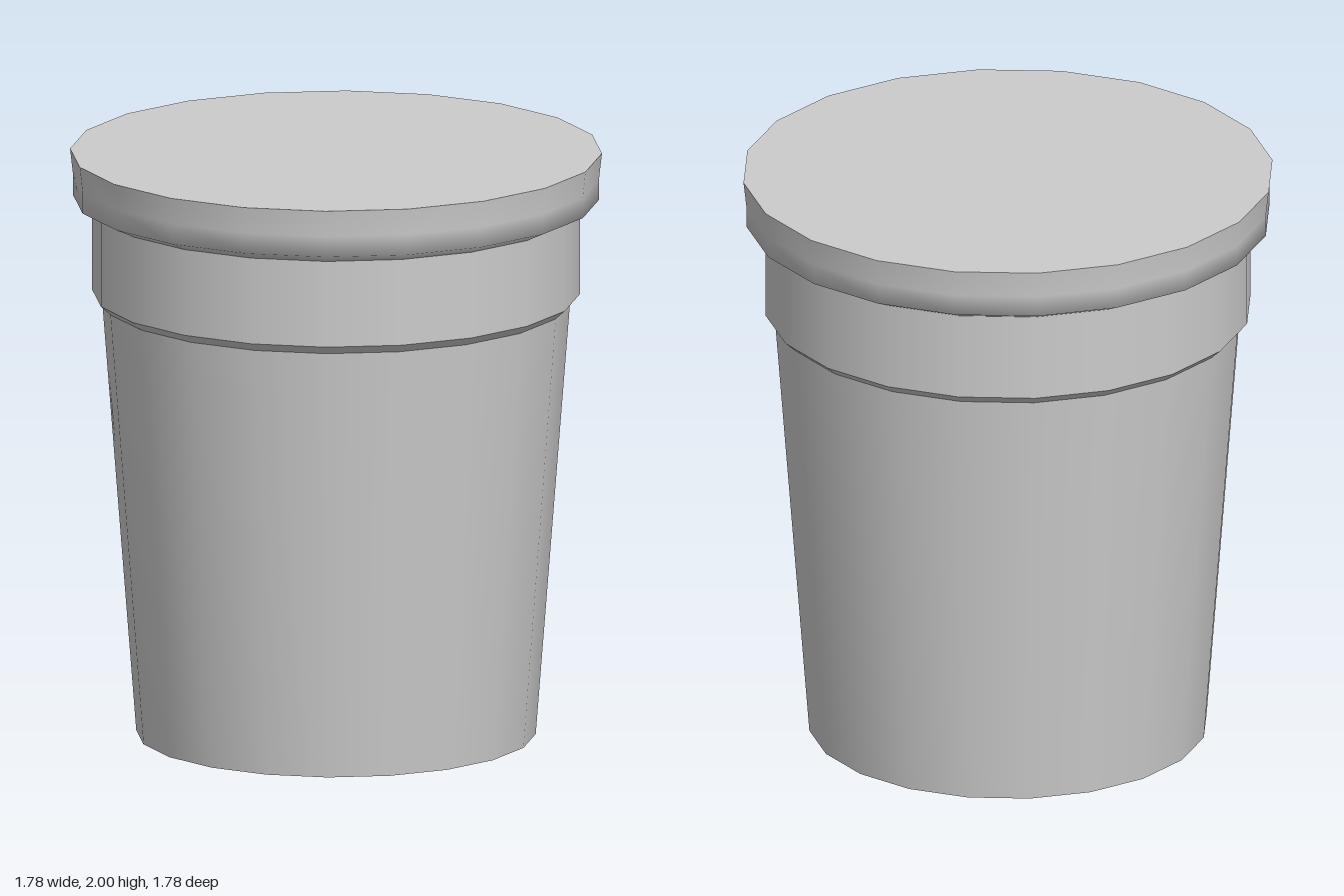
import * as THREE from 'three';

const SIDES = 20;

export function createModel() {
  const group = new THREE.Group();
  const material = new THREE.MeshStandardMaterial({ color: 0xcccccc });

  const add = (name, geometry) => {
    const mesh = new THREE.Mesh(geometry, material);
    mesh.name = name;
    group.add(mesh);
    return mesh;
  };

  // Each turned section is smooth within itself and meets its neighbour at a hard edge
  const turned = (name, profile) =>
    add(name, new THREE.LatheGeometry(profile.map(([r, y]) => new THREE.Vector2(r, y)), SIDES));

  const disc = (name, radius, y, facing) => {
    const mesh = add(name, new THREE.CircleGeometry(radius, SIDES));
    mesh.rotation.x = -facing * Math.PI / 2;
    mesh.position.y = y;
  };

  // Tapered cup
  disc('cupBase', 0.67, 0, -1);
  turned('cupWall', [[0.67, 0], [0.785, 1.485]]);

  // Straight collar with a bevelled lower edge
  turned('collarBevel', [[0.785, 1.485], [0.818, 1.515]]);
  turned('collar', [[0.818, 1.515], [0.818, 1.81]]);

  // Overhanging lid with a softly rounded rim
  turned('lidRim', [[0.818, 1.81], [0.882, 1.84], [0.882, 1.91], [0.892, 2]]);
  disc('lidTop', 0.892, 2, 1);

  return group;
}
